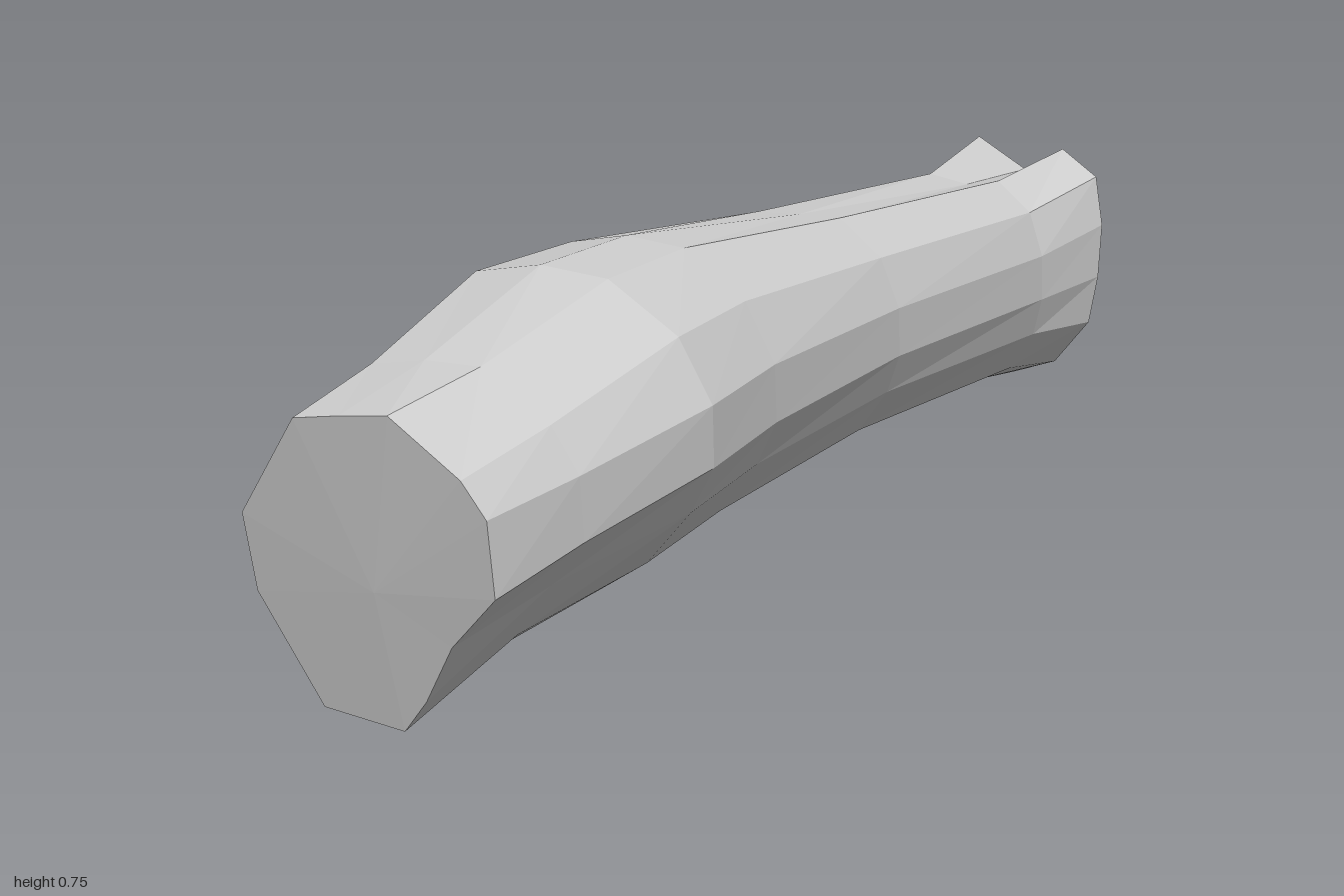
import * as THREE from 'three';

// Cross-section outlines in a unit box, clockwise from the upper left
const FRONT = [[-1, .3], [-.48, .93], [-.1, .97], [.3, 1], [.83, .63], [1, .39], [.98, -.11],
  [.57, -.44], [.3, -.8], [.09, -1], [-.54, -.89], [-.96, -.19], [-.98, .05]];
const MIDDLE = [[-.92, .45], [-.5, .92], [-.05, 1], [.4, .95], [.83, .62], [1, .2], [.95, -.2],
  [.75, -.5], [.4, -.85], [0, -1], [-.55, -.85], [-.95, -.3], [-1, .1]];
const BACK = [[-1, .58], [-.6, 1], [0, .76], [.44, .97], [.88, .76], [1, .35], [1, -.1],
  [.93, -.5], [.55, -.87], [.05, -1], [-.5, -1], [-.88, -.47], [-.78, .24]];

// Stations along the limb: extents, plane tilt, and blend towards an end outline
const STATIONS = [
  { z: .9, x: [.06, .52], y: [0, .54], tilt: [-.35, .17], end: FRONT, blend: 1 },
  { z: .67, x: [-.03, .46], y: [.095, .6], tilt: [-.35, .17], end: FRONT, blend: .5 },
  { z: .35, x: [-.165, .385], y: [.18, .715], tilt: [-.35, .17], end: FRONT, blend: 0 },
  { z: .1, x: [-.225, .245], y: [.235, .73], tilt: [-.35, .17], end: BACK, blend: 0 },
  { z: -.35, x: [-.315, .03], y: [.32, .715], tilt: [-.3, .1], end: BACK, blend: .2 },
  { z: -.8, x: [-.435, -.155], y: [.37, .715], tilt: [-.28, .05], end: BACK, blend: .45 },
  { z: -.945, x: [-.52, -.2], y: [.365, .745], tilt: [-.28, -.1], end: BACK, blend: 1 },
];

function sectionPoints({ z, x, y, tilt, end, blend }) {
  const cx = (x[0] + x[1]) / 2, cy = (y[0] + y[1]) / 2;
  return MIDDLE.map(([u, v], j) => {
    const dx = THREE.MathUtils.lerp(u, end[j][0], blend) * (x[1] - x[0]) / 2;
    const dy = THREE.MathUtils.lerp(v, end[j][1], blend) * (y[1] - y[0]) / 2;
    return [cx + dx, cy + dy, z + tilt[0] * dx + tilt[1] * dy];
  });
}

function makeMesh(name, positions, index) {
  const geometry = new THREE.BufferGeometry();
  geometry.setAttribute('position', new THREE.Float32BufferAttribute(positions.flat(), 3));
  geometry.setIndex(index);
  geometry.computeVertexNormals();
  const mesh = new THREE.Mesh(geometry,
    new THREE.MeshStandardMaterial({ color: 0xcccccc, flatShading: true }));
  mesh.name = name;
  return mesh;
}

// Fan from a centre point to the rim of an end section
function makeCap(name, rim, centre, facesFront) {
  const n = rim.length, index = [];
  for (let j = 0; j < n; j++) {
    const k = (j + 1) % n;
    index.push(n, facesFront ? k : j, facesFront ? j : k);
  }
  return makeMesh(name, [...rim, centre], index);
}

export function createModel() {
  const model = new THREE.Group();
  model.name = 'limbSegment';
  const rings = STATIONS.map(sectionPoints);
  const n = MIDDLE.length;

  // Tapering limb skin
  const index = [];
  for (let i = 0; i < rings.length - 1; i++) {
    for (let j = 0; j < n; j++) {
      const k = (j + 1) % n;
      const a = i * n + j, b = i * n + k, c = a + n, d = b + n;
      index.push(a, b, c, b, d, c);
    }
  }
  model.add(makeMesh('limbSkin', rings.flat(), index));

  // End caps
  model.add(makeCap('frontCap', rings[0], [.295, .235, .9], true));
  model.add(makeCap('backCap', rings[rings.length - 1], [-.35, .56, -.93], false));
  return model;
}
